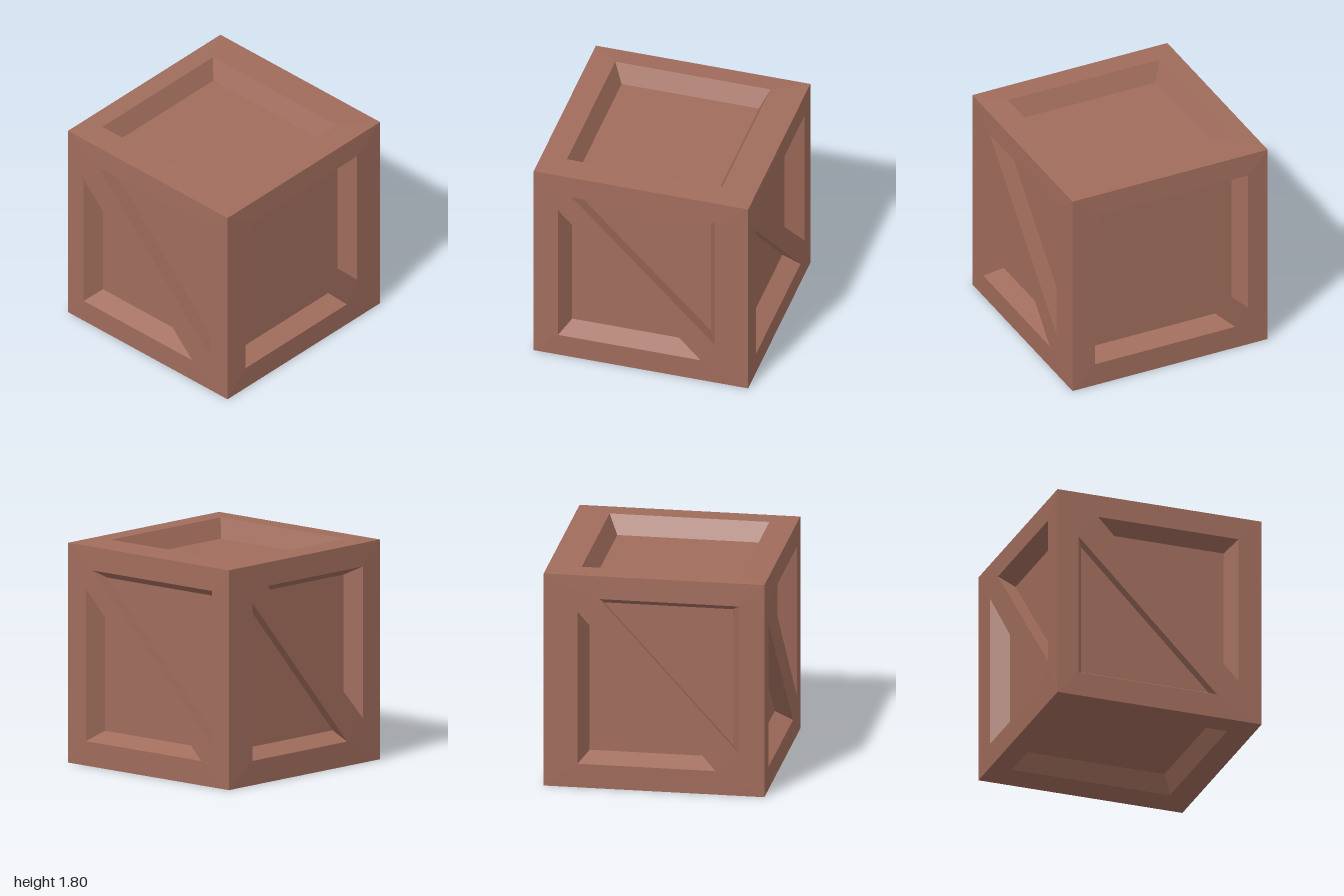
import * as THREE from 'three';

const WIDTH = 1.745, HEIGHT = 1.79, DEPTH = 1.79;
const RECESS = 0.14, TAPER = 0.075, UNDERCUT = 0.04;

const material = new THREE.MeshStandardMaterial({ color: 0xa06c5c, flatShading: true });

// Shrinks a counter-clockwise polygon; sloping brace edges cut back instead.
function insetPolygon(points) {
  const n = points.length;
  const lines = points.map((a, i) => {
    const d = points[(i + 1) % n].clone().sub(a);
    const diagonal = Math.min(Math.abs(d.x), Math.abs(d.y)) > 0.01;
    d.normalize();
    const amount = diagonal ? -UNDERCUT : TAPER;
    return { p: new THREE.Vector2(a.x - d.y * amount, a.y + d.x * amount), d };
  });
  return points.map((_, i) => {
    const l = lines[(i + n - 1) % n], m = lines[i];
    const t = m.p.clone().sub(l.p).cross(m.d) / l.d.cross(m.d);
    return l.p.clone().addScaledVector(l.d, t);
  });
}

// One crate side: a flat frame with holes, sloping recess walls and sunk panels.
function makeSide(name, rect, holes, bulge) {
  const side = new THREE.Group();
  side.name = name;
  const add = (part, geometry) => {
    const mesh = new THREE.Mesh(geometry, material);
    mesh.name = part;
    side.add(mesh);
  };
  const toVectors = (list) => list.map(([x, y]) => new THREE.Vector2(x, y));
  const [x0, y0, x1, y1] = rect;
  const shape = new THREE.Shape(toVectors([[x0, y0], [x1, y0], [x1, y1], [x0, y1]]));
  const openings = holes.map(toVectors);
  shape.holes = openings.map((o) => new THREE.Path(o));

  // The frame swells very slightly towards the recess rims
  const frame = new THREE.ShapeGeometry(shape);
  const pos = frame.attributes.position;
  for (let i = 4; i < pos.count; i++) pos.setZ(i, bulge);
  frame.computeVertexNormals();
  add('frame', frame);

  for (const rim of openings) {
    const floor = insetPolygon(rim);
    const verts = [];
    rim.forEach((a, i) => {
      const j = (i + 1) % rim.length;
      const b = rim[j], c = floor[j], d = floor[i];
      verts.push(a.x, a.y, bulge, b.x, b.y, bulge, c.x, c.y, -RECESS);
      verts.push(a.x, a.y, bulge, c.x, c.y, -RECESS, d.x, d.y, -RECESS);
    });
    const walls = new THREE.BufferGeometry();
    walls.setAttribute('position', new THREE.Float32BufferAttribute(verts, 3));
    walls.computeVertexNormals();
    add('recessWalls', walls);
    add('panel', new THREE.ShapeGeometry(new THREE.Shape(floor)).translate(0, 0, -RECESS));
  }
  return side;
}

// Two triangular openings, leaving a diagonal brace between them.
function braceHoles(left, right, lowerTop, lowerEnd, upperStart, upperBottom) {
  const bottom = 0.2, top = 1.6;
  return [
    [[left, bottom], [lowerEnd, bottom], [left, lowerTop]],
    [[right, top], [upperStart, top], [right, upperBottom]],
  ];
}

export function createModel() {
  const model = new THREE.Group();
  model.name = 'crate';
  const crate = new THREE.Group();
  crate.name = 'crateBody';
  crate.rotation.y = -0.129;
  model.add(crate);

  // Upright sides, each with a diagonal brace
  const uprights = [
    ['frontSide', 0, WIDTH, DEPTH, braceHoles(-0.695, 0.675, 1.4, 0.49, -0.53, 0.345)],
    ['leftSide', Math.PI / 2, DEPTH, WIDTH, braceHoles(-0.69, 0.62, 1.445, 0.5, -0.575, 0.38)],
    ['backSide', Math.PI, WIDTH, DEPTH, braceHoles(-0.675, 0.695, 1.44, 0.58, -0.6, 0.35)],
    ['rightSide', -Math.PI / 2, DEPTH, WIDTH, braceHoles(-0.62, 0.69, 1.485, 0.5, -0.44, 0.36)],
  ];
  for (const [name, angle, width, distance, holes] of uprights) {
    const side = makeSide(name, [-width / 2, 0, width / 2, HEIGHT], holes, 0.005);
    side.rotation.y = angle;
    side.position.set(Math.sin(angle), 0, Math.cos(angle)).multiplyScalar(distance / 2);
    crate.add(side);
  }

  // Lid and base, each with one rectangular recess
  const flat = [-WIDTH / 2, -DEPTH / 2, WIDTH / 2, DEPTH / 2];
  const opening = (low, high) => [[[-0.695, low], [0.66, low], [0.66, high], [-0.695, high]]];
  const lid = makeSide('lid', flat, opening(-0.68, 0.616), 0.013);
  lid.rotation.x = -Math.PI / 2;
  lid.position.y = HEIGHT;
  const base = makeSide('base', flat, opening(-0.616, 0.68), 0);
  base.rotation.x = Math.PI / 2;
  crate.add(lid, base);

  return model;
}
